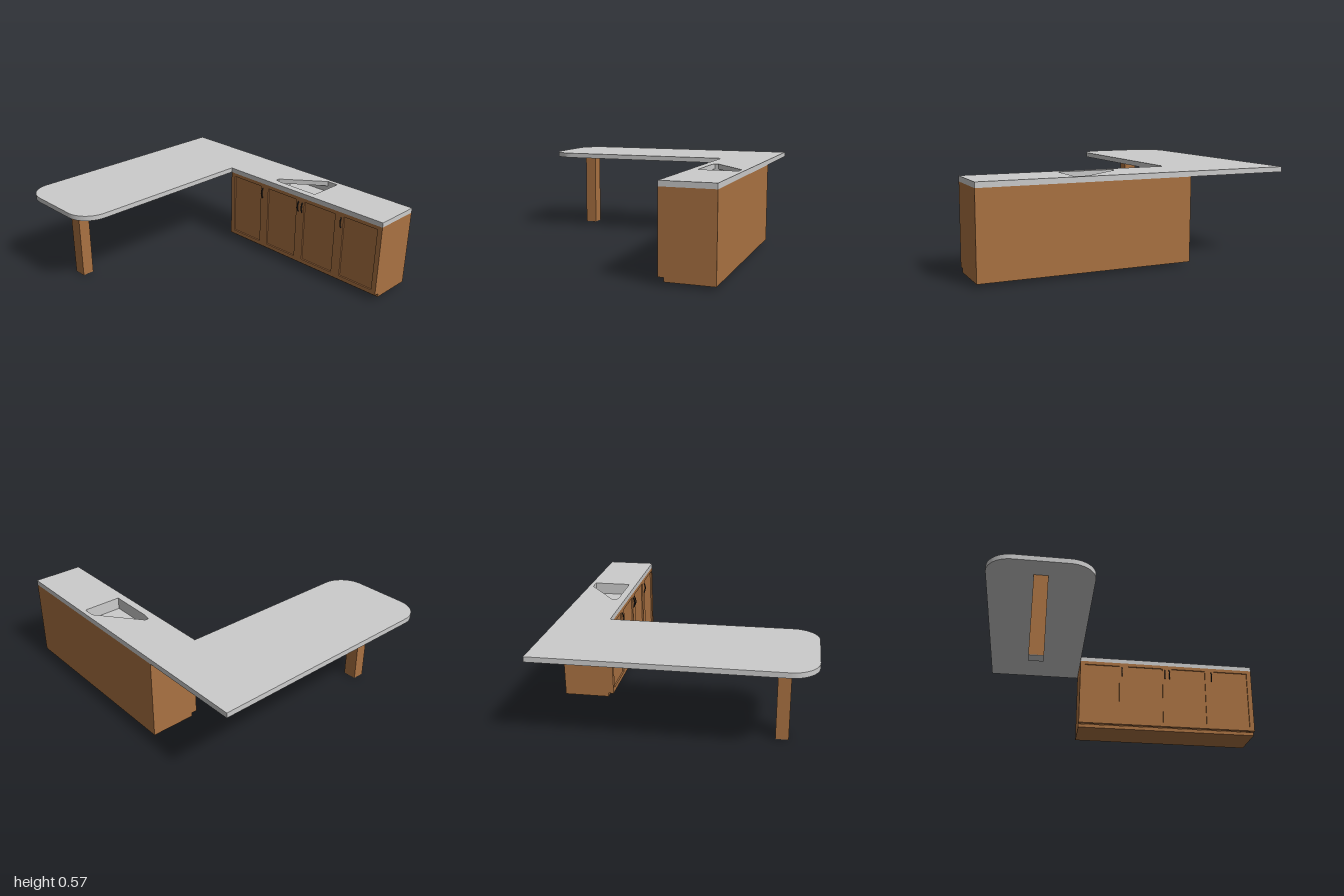
import * as THREE from 'three';
import { toCreasedNormals } from 'three/addons/utils/BufferGeometryUtils.js';

const stone = new THREE.MeshStandardMaterial({ color: 0xcccccc });
const wood = new THREE.MeshStandardMaterial({ color: 0xaa7242 });
const dark = new THREE.MeshStandardMaterial({ color: 0x222222 });

function add(parent, name, geometry, material) {
  const mesh = new THREE.Mesh(geometry, material);
  mesh.name = name;
  parent.add(mesh);
  return mesh;
}

// Box given by its lower and upper limits on each axis
function block(parent, name, [x0, x1], [y0, y1], [z0, z1], material) {
  const mesh = add(parent, name, new THREE.BoxGeometry(x1 - x0, y1 - y0, z1 - z0), material);
  mesh.position.set((x0 + x1) / 2, (y0 + y1) / 2, (z0 + z1) / 2);
  return mesh;
}

const outline = (pts) => pts.map(([x, y]) => new THREE.Vector2(x, y));

// L-shaped top with two rounded corners; drawn in x and -z, then laid flat
function buildCountertop(group) {
  const r = 0.165;
  const s = new THREE.Shape();
  s.moveTo(-1, 0.83);
  s.lineTo(-1, -0.83 + r);
  s.absarc(-1 + r, -0.83 + r, r, Math.PI, Math.PI * 1.5);
  s.lineTo(-0.33 - r, -0.83);
  s.absarc(-0.33 - r, -0.83 + r, r, Math.PI * 1.5, Math.PI * 2);
  s.lineTo(-0.33, 0.5);
  s.lineTo(1, 0.5);
  s.lineTo(1, 0.83);
  s.closePath();
  s.holes.push(new THREE.Path(outline([
    [0.06, 0.56], [0.06, 0.585], [0.335, 0.8], [0.415, 0.8], [0.415, 0.55], [0.11, 0.55],
  ])));
  const geo = new THREE.ExtrudeGeometry(s, { depth: 0.033, bevelEnabled: false, curveSegments: 16 });
  geo.rotateX(-Math.PI / 2);
  geo.translate(0, 0.54, 0);
  add(group, 'countertop', toCreasedNormals(geo, 0.5), stone);
}

// Rectangular sink bowl below the cut-out
function buildBasin(group) {
  const basin = new THREE.Group();
  basin.name = 'sinkBasin';
  const [x0, x1, z0, z1, t] = [0.06, 0.415, -0.8, -0.55, 0.01];
  const y = [0.485, 0.54];
  block(basin, 'basinFloor', [x0, x1], [0.485, 0.495], [z0, z1], stone);
  block(basin, 'basinLeftWall', [x1, x1 + t], y, [z0 - t, z1 + t], stone);
  block(basin, 'basinRightWall', [x0 - t, x0], y, [z0 - t, z1 + t], stone);
  block(basin, 'basinBackWall', [x0, x1], y, [z0 - t, z0], stone);
  block(basin, 'basinFrontWall', [x0, x1], y, [z1, z1 + t], stone);
  group.add(basin);
}

function buildCabinet(group) {
  const cabinet = new THREE.Group();
  cabinet.name = 'cabinet';

  // Side panels with the toe-kick notch, drawn in -z and y
  const side = new THREE.Shape(outline([
    [0.5, 0.045], [0.535, 0.045], [0.535, 0.02], [0.83, 0.02], [0.83, 0.54], [0.5, 0.54],
  ]));
  for (const [name, x] of [['rightSide', -0.33], ['leftSide', 0.98]]) {
    const geo = new THREE.ExtrudeGeometry(side, { depth: 0.02, bevelEnabled: false });
    geo.rotateY(Math.PI / 2);
    geo.translate(x, 0, 0);
    add(cabinet, name, geo, wood);
  }
  const inner = [-0.31, 0.98];
  block(cabinet, 'backPanel', inner, [0.02, 0.54], [-0.83, -0.815], wood);
  block(cabinet, 'bottomPanel', inner, [0.02, 0.045], [-0.815, -0.535], wood);
  block(cabinet, 'doorPanels', inner, [0.045, 0.54], [-0.53, -0.51], wood);

  // Door frames: one raised sheet with four recessed panels
  const frame = new THREE.Shape(outline([[-0.31, 0.045], [0.98, 0.045], [0.98, 0.54], [-0.31, 0.54]]));
  const doorWidth = 1.33 / 4;
  for (let i = 0; i < 4; i++) {
    const x0 = -0.33 + i * doorWidth + 0.035, x1 = x0 + doorWidth - 0.07;
    frame.holes.push(new THREE.Path(outline([[x0, 0.075], [x0, 0.515], [x1, 0.515], [x1, 0.075]])));
  }
  const frameGeo = new THREE.ExtrudeGeometry(frame, { depth: 0.01, bevelEnabled: false });
  frameGeo.translate(0, 0, -0.51);
  add(cabinet, 'doorFrames', frameGeo, wood);

  // Bowed pull handles
  const bow = new THREE.CatmullRomCurve3([
    new THREE.Vector3(0, 0.43, -0.502), new THREE.Vector3(0, 0.445, -0.494),
    new THREE.Vector3(0, 0.468, -0.49), new THREE.Vector3(0, 0.491, -0.494),
    new THREE.Vector3(0, 0.506, -0.502),
  ]);
  const handleGeo = new THREE.TubeGeometry(bow, 16, 0.004, 8);
  for (const x of [-0.015, 0.318, 0.352, 0.683]) {
    add(cabinet, 'handle', handleGeo, dark).position.x = x;
  }
  group.add(cabinet);
}

export function createModel() {
  const group = new THREE.Group();
  group.name = 'kitchenCounter';
  buildCountertop(group);
  buildBasin(group);
  buildCabinet(group);
  // Post under the free end of the top
  block(group, 'leg', [-0.71, -0.62], [0.003, 0.54], [0.595, 0.675], wood);
  block(group, 'legFoot', [-0.71, -0.62], [0, 0.003], [0.595, 0.675], stone);
  return group;
}
